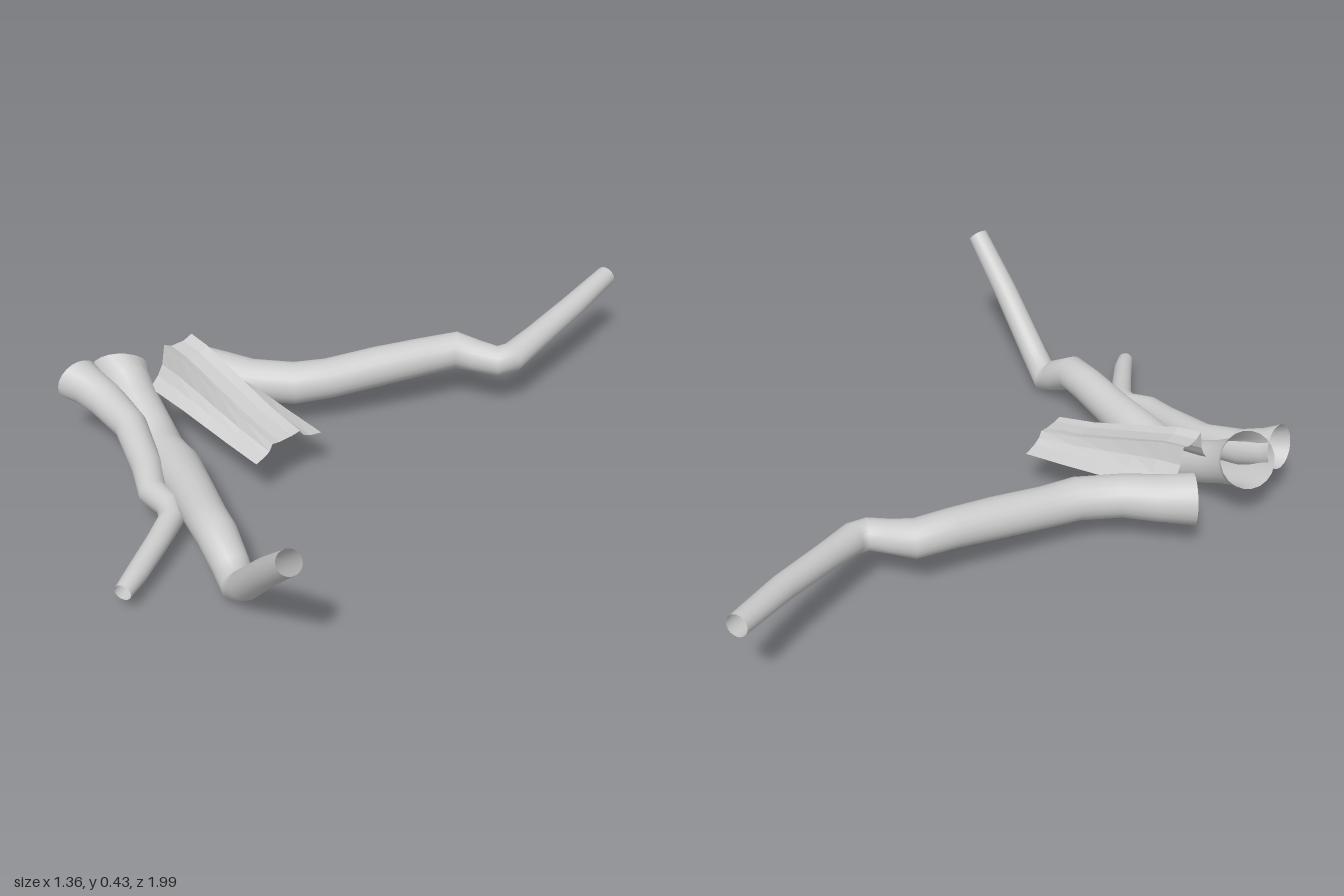
import * as THREE from 'three';

const UP = new THREE.Vector3(0, 1, 0);
const SIDES = 20;

function meshFrom(name, positions, index, flatShading = false) {
  const geo = new THREE.BufferGeometry();
  geo.setAttribute('position', new THREE.Float32BufferAttribute(positions, 3));
  geo.setIndex(index);
  geo.computeVertexNormals();
  const mat = new THREE.MeshStandardMaterial({ color: 0xcccccc, side: THREE.DoubleSide, flatShading });
  const mesh = new THREE.Mesh(geo, mat);
  mesh.name = name;
  return mesh;
}

// Open tube through stations [x, y, z, radius]; the last ring may be cut along its own normal
function limb(name, stations, cutNormal) {
  const pts = stations.map(s => new THREE.Vector3(s[0], s[1], s[2]));
  const last = pts.length - 1;
  const step = i => pts[i + 1].clone().sub(pts[i]).normalize();
  const positions = [], index = [];
  pts.forEach((p, i) => {
    const t = new THREE.Vector3();
    if (i > 0) t.add(step(i - 1));
    if (i < last) t.add(step(i));
    if (i === last && cutNormal) t.set(...cutNormal);
    t.normalize();
    const u = new THREE.Vector3().crossVectors(UP, t).normalize();
    const v = new THREE.Vector3().crossVectors(t, u);
    for (let j = 0; j < SIDES; j++) {
      const a = (j / SIDES) * Math.PI * 2;
      const q = p.clone()
        .addScaledVector(u, Math.cos(a) * stations[i][3])
        .addScaledVector(v, Math.sin(a) * stations[i][3]);
      positions.push(q.x, q.y, q.z);
      if (i < last) {
        const a0 = i * SIDES + j, b0 = i * SIDES + (j + 1) % SIDES;
        index.push(a0, b0, a0 + SIDES, b0, b0 + SIDES, a0 + SIDES);
      }
    }
  });
  return meshFrom(name, positions, index);
}

// Open channel: a flared section [z, height 0..1] swept along x, sinking and flattening
function channel(name) {
  const section = [[0.43, 0], [0.40, 0.25], [0.382, 0.5], [0.37, 1], [0.345, 0.9],
    [0.30, 0.9], [0.27, 1], [0.258, 0.55], [0.235, 0.25], [0.19, 0]];
  // [x, base y, top y]
  const spans = [[-0.505, 0.185, 0.305], [-0.43, 0.18, 0.295], [-0.35, 0.175, 0.27],
    [-0.25, 0.165, 0.24], [-0.15, 0.155, 0.21], [-0.025, 0.145, 0.185]];
  const n = section.length, positions = [], index = [];
  spans.forEach(([x, base, top], i) => section.forEach(([z, h], j) => {
    positions.push(x, base + (top - base) * h, z);
    if (i < spans.length - 1 && j < n - 1) {
      const a = i * n + j;
      index.push(a, a + n, a + 1, a + 1, a + n, a + n + 1);
    }
  }));
  return meshFrom(name, positions, index, true);
}

export function createModel() {
  const group = new THREE.Group();
  group.name = 'limbs';

  // Long limb reaching to the back
  group.add(limb('backLimb', [
    [0.025, 0.25, -1.0, 0.032], [0.058, 0.225, -0.8, 0.037], [0.08, 0.195, -0.6, 0.04],
    [0.092, 0.178, -0.48, 0.045], [0.075, 0.175, -0.435, 0.046], [0.015, 0.178, -0.41, 0.048],
    [-0.05, 0.183, -0.385, 0.056], [-0.10, 0.178, -0.28, 0.057], [-0.16, 0.168, -0.16, 0.06],
    [-0.23, 0.153, -0.02, 0.06], [-0.28, 0.152, 0.07, 0.063], [-0.38, 0.155, 0.155, 0.063],
    [-0.47, 0.158, 0.2, 0.068], [-0.56, 0.162, 0.25, 0.075],
  ], [-0.78, 0, 0.62]));

  // Raised limb with a bent joint and a flared end
  group.add(limb('raisedLimb', [
    [0.65, 0.412, 0.885, 0.032], [0.5, 0.275, 0.83, 0.037], [0.33, 0.108, 0.763, 0.041],
    [0.265, 0.054, 0.735, 0.046], [0.215, 0.087, 0.72, 0.05], [0.14, 0.13, 0.7, 0.055],
    [0.06, 0.125, 0.67, 0.056], [-0.08, 0.11, 0.61, 0.06], [-0.22, 0.093, 0.555, 0.069],
    [-0.34, 0.078, 0.52, 0.067], [-0.42, 0.107, 0.495, 0.064], [-0.52, 0.155, 0.473, 0.064],
    [-0.58, 0.185, 0.46, 0.07], [-0.622, 0.212, 0.45, 0.085],
  ], [-0.65, 0.5, -0.5]));

  // Thin limb at the front
  group.add(limb('frontLimb', [
    [0.1, 0.066, 0.975, 0.024], [0.07, 0.074, 0.91, 0.029], [0.01, 0.085, 0.8, 0.031],
    [-0.04, 0.093, 0.715, 0.034], [-0.085, 0.098, 0.685, 0.036], [-0.16, 0.106, 0.685, 0.04],
    [-0.25, 0.122, 0.635, 0.043], [-0.42, 0.15, 0.565, 0.047], [-0.55, 0.175, 0.555, 0.054],
    [-0.62, 0.195, 0.565, 0.058], [-0.66, 0.206, 0.575, 0.067],
  ], [-0.97, 0.2, -0.05]));

  group.add(channel('ridgedStrip'));
  return group;
}
